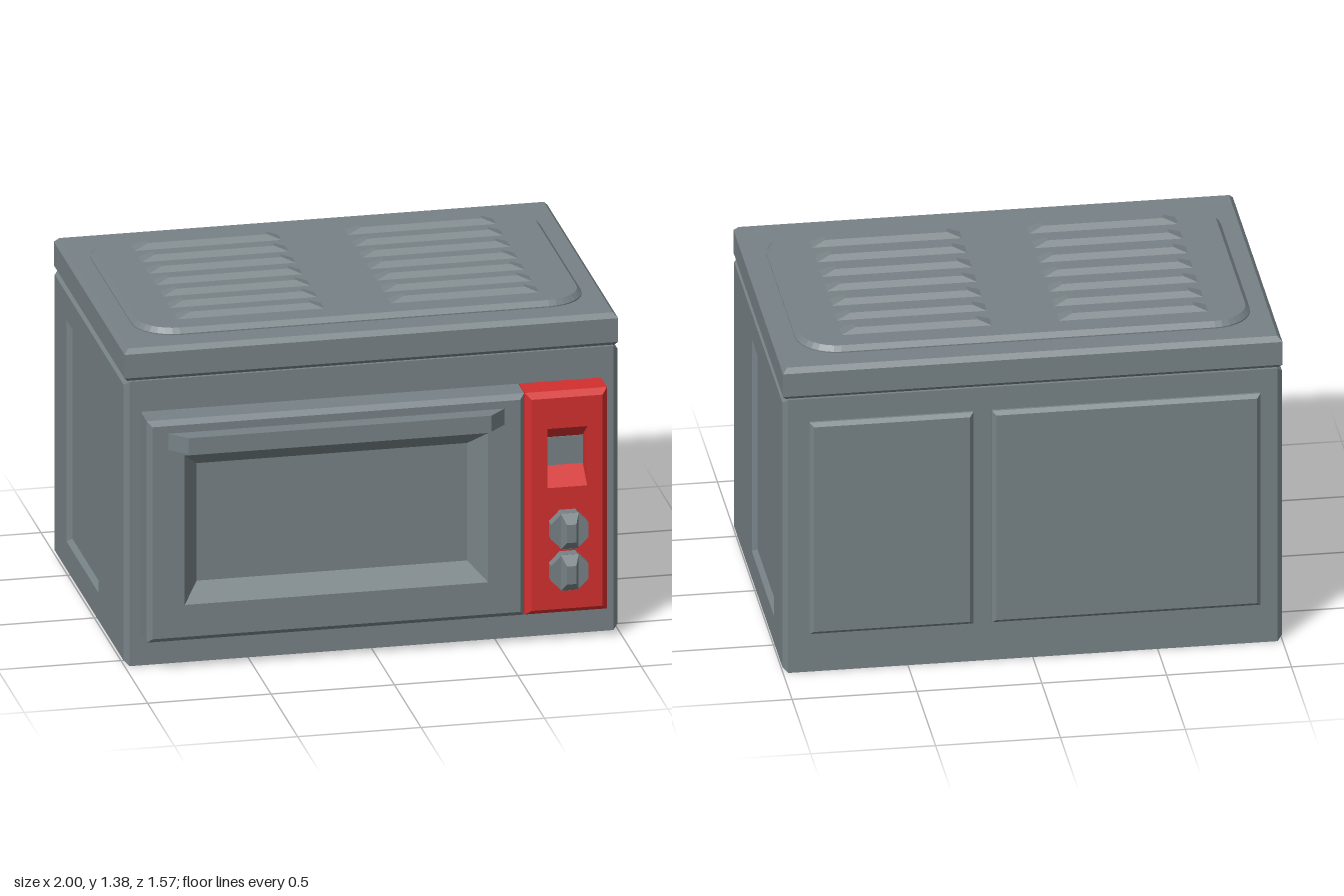
import * as THREE from 'three';

const grey = new THREE.MeshStandardMaterial({ color: 0x778286 });
grey.name = 'grey casing';
const red = new THREE.MeshStandardMaterial({ color: 0xd32f2f });
red.name = 'red control panel';

// Joins rectangles [a0, a1, b0, b1, w] along an axis and caps both ends.
// Axis z: a = x, b = y. Axis x: a = y, b = z. Axis y: a = z, b = x.
function loft(axis, rings) {
  const place = {
    x: (a, b, w) => [w, a, b],
    y: (a, b, w) => [b, w, a],
    z: (a, b, w) => [a, b, w],
  }[axis];
  const loops = rings.map(([a0, a1, b0, b1, w]) =>
    [[a0, b0], [a1, b0], [a1, b1], [a0, b1]].map(([a, b]) => place(a, b, w)));
  const pos = [];
  const quad = (p, q, r, s) => pos.push(...p, ...q, ...r, ...p, ...r, ...s);
  for (let k = 0; k + 1 < loops.length; k++) {
    for (let i = 0; i < 4; i++) {
      const j = (i + 1) % 4;
      quad(loops[k][i], loops[k][j], loops[k + 1][j], loops[k + 1][i]);
    }
  }
  const first = loops[0], last = loops[loops.length - 1];
  quad(first[3], first[2], first[1], first[0]);
  quad(...last);
  const geo = new THREE.BufferGeometry();
  geo.setAttribute('position', new THREE.Float32BufferAttribute(pos, 3));
  geo.computeVertexNormals();
  return geo;
}

// Rectangle pulled in by da and db, set at height w
const ring = ([a0, a1, b0, b1], w, da = 0, db = da) => [a0 + da, a1 - da, b0 + db, b1 - db, w];

export function createModel() {
  const model = new THREE.Group();
  model.name = 'toasterOven';
  const add = (name, geo, mat = grey, parent = model) => {
    const mesh = new THREE.Mesh(geo, mat);
    mesh.name = name;
    parent.add(mesh);
    return mesh;
  };

  // Body with a sunken panel in each side
  const side = [0, 1.2, -0.76, 0.57], panel = [0.135, 1.07, -0.52, 0.08];
  add('body', loft('x', [
    ring(panel, -0.98, 0.017), ring(panel, -1), ring(side, -1, 0.018), ring(side, -0.98),
    ring(side, 0.98), ring(side, 1, 0.018), ring(panel, 1), ring(panel, 0.98, 0.017),
  ]));

  // Lid and raised top plate
  const lid = [-0.76, 0.57, -1, 1];
  add('lid', loft('y', [
    ring(lid, 1.195, 0.018), ring(lid, 1.215), ring(lid, 1.315), ring(lid, 1.335, 0.018),
  ]));

  const plate = new THREE.Shape();
  const hx = 0.892, hz = 0.525, r = 0.145;
  plate.moveTo(-hx + r, -hz);
  plate.absarc(hx - r, -hz + r, r, -Math.PI / 2, 0);
  plate.absarc(hx - r, hz - r, r, 0, Math.PI / 2);
  plate.absarc(-hx + r, hz - r, r, Math.PI / 2, Math.PI);
  plate.absarc(-hx + r, -hz + r, r, Math.PI, Math.PI * 1.5);
  const plateGeo = new THREE.ExtrudeGeometry(plate, {
    depth: 0.02, curveSegments: 4, bevelSize: 0.018, bevelThickness: 0.02, bevelSegments: 1,
  });
  plateGeo.rotateX(-Math.PI / 2);
  add('topPlate', plateGeo).position.set(0, 1.32, -0.098);

  // Two columns of louvers
  const louvers = new THREE.Group();
  louvers.name = 'louvers';
  model.add(louvers);
  for (const [x0, x1] of [[-0.735, -0.14], [0.13, 0.73]]) {
    for (let i = 0; i < 7; i++) {
      const z = -0.5 + i * 0.1337;
      const base = [z - 0.032, z + 0.032, x0, x1];
      add('louver', loft('y', [ring(base, 1.355), ring(base, 1.36), ring(base, 1.383, 0.016, 0.055)]), grey, louvers);
    }
  }

  // Door with a sunken window
  const door = [-0.935, 0.595, 0.135, 1.07], pane = [-0.785, 0.445, 0.29, 0.92];
  add('door', loft('z', [
    ring(door, 0.56), ring(door, 0.68), ring(door, 0.7, 0.02),
    ring(pane, 0.7), ring(pane, 0.615, 0.067),
  ]));

  // Door handle with slanted ends
  const bar = [-0.85, 0.51, 0.95, 1.018];
  add('doorHandle', loft('z', [ring(bar, 0.695), ring(bar, 0.7), ring(bar, 0.768, 0.066, 0)]));

  // Control panel with a sunken display
  const control = [0.598, 0.93, 0.135, 1.07], slot = [0.685, 0.845, 0.67, 0.92];
  add('controlPanel', loft('z', [
    ring(control, 0.56), ring(control, 0.68), ring(control, 0.705, 0.022),
    ring(slot, 0.705), ring(slot, 0.62, 0, 0.066),
  ]), red);
  add('display', loft('z', [ring(slot, 0.619, 0, 0.066), ring(slot, 0.624, 0, 0.066)]));

  // Octagonal knobs with a tapered grip
  for (const y of [0.5, 0.325]) {
    const knob = new THREE.Group();
    knob.name = 'knob';
    knob.position.set(0.765, y, 0);
    model.add(knob);
    const dial = new THREE.CylinderGeometry(0.082, 0.082, 0.05, 8).toNonIndexed();
    dial.rotateY(Math.PI / 8);
    dial.rotateX(Math.PI / 2);
    dial.computeVertexNormals();
    add('dial', dial, grey, knob).position.z = 0.725;
    const grip = [-0.036, 0.036, -0.075, 0.075];
    add('grip', loft('z', [ring(grip, 0.745), ring(grip, 0.75), ring(grip, 0.785, 0.017, 0.037)]), grey, knob);
  }

  // Raised back panels
  for (const [x0, x1] of [[-0.91, 0.165], [0.24, 0.895]]) {
    const back = [x0, x1, 0.17, 1.1];
    add('backPanel', loft('z', [ring(back, -0.785, 0.015), ring(back, -0.77), ring(back, -0.75)]));
  }
  return model;
}
